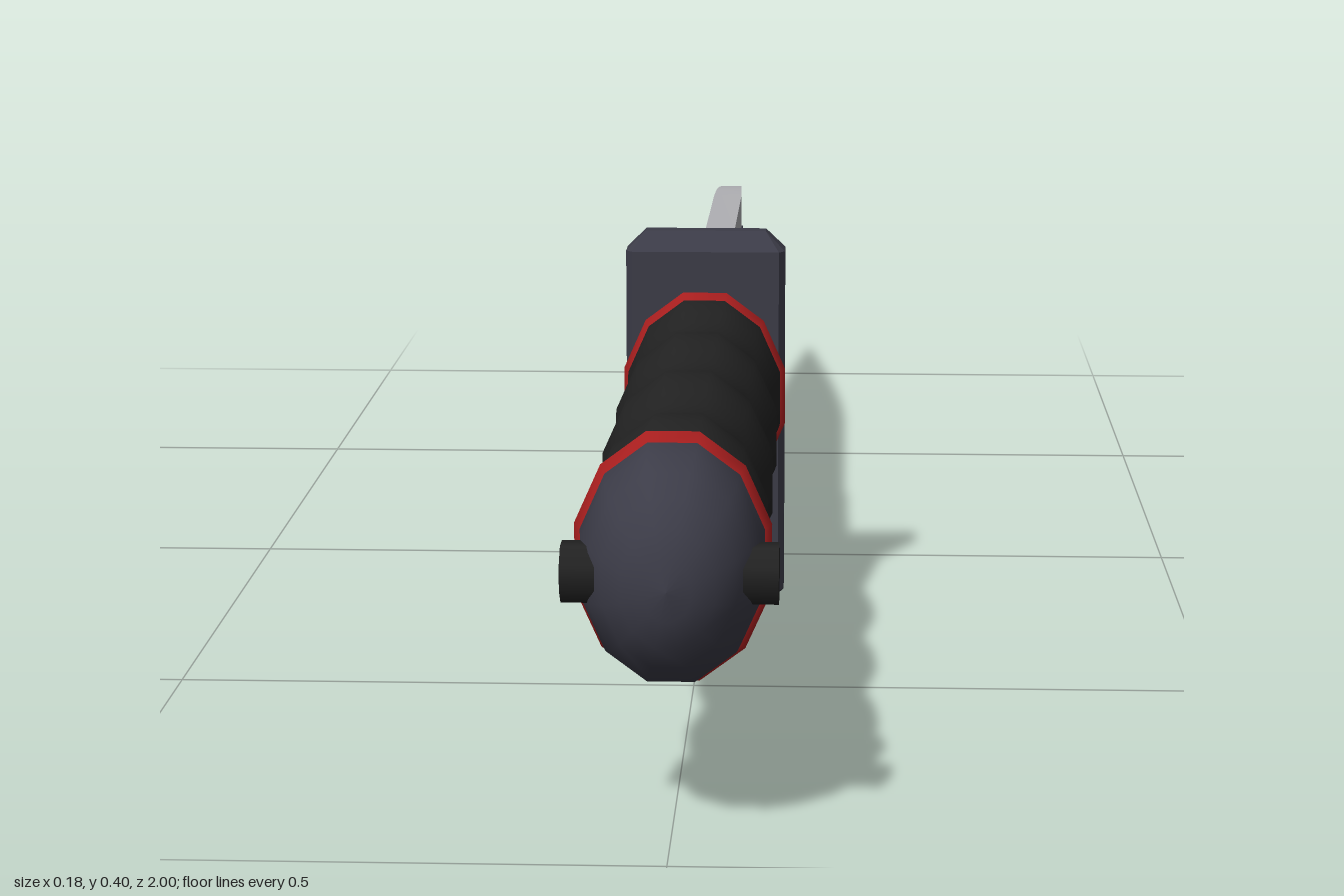
import * as THREE from 'three';
import { toCreasedNormals } from 'three/addons/utils/BufferGeometryUtils.js';
import { ConvexGeometry } from 'three/addons/geometries/ConvexGeometry.js';

const AXIS_Y = 0.232; // height of the handle axis
const OVAL = 1.3;     // handle height / width
const SIDES = 12;

const material = (name, color, flatShading = false) =>
  Object.assign(new THREE.MeshStandardMaterial({ color, flatShading }), { name });

// Oval turned part along z from [radius, z] pairs
function turned(profile) {
  const points = profile.map(([r, z]) => new THREE.Vector2(r, z));
  return new THREE.LatheGeometry(points, SIDES, Math.PI / SIDES)
    .rotateX(Math.PI / 2).scale(1, OVAL, 1).translate(0, AXIS_Y, 0);
}

// Blade lofted from six-point cross-sections, thick spine to thin edge
function bladeGeometry() {
  const start = 0.19, bend = -0.47, tip = -1;
  const topCurve = new THREE.SplineCurve([[-0.47, 0.335], [-0.55, 0.333], [-0.71, 0.31], [-0.87, 0.278], [-1, 0.25]]
    .map(p => new THREE.Vector2(...p)));
  const lowCurve = new THREE.SplineCurve([[-0.47, 0.12], [-0.56, 0.125], [-0.71, 0.145], [-0.87, 0.19], [-1, 0.25]]
    .map(p => new THREE.Vector2(...p)));
  const heightAt = (curve, z) => {
    let lo = 0, hi = 1;
    for (let i = 0; i < 30; i++) {
      const mid = (lo + hi) / 2;
      if (curve.getPoint(mid).x > z) lo = mid; else hi = mid;
    }
    return curve.getPoint(lo).y;
  };
  const stations = [start];
  for (let i = 0; i <= 16; i++) stations.push(bend + (tip - bend) * i / 16);

  const position = [], index = [];
  stations.forEach((z) => {
    const s = Math.max(0, (bend - z) / (bend - tip));
    const top = z > bend ? 0.335 : heightAt(topCurve, z);
    const low = z > bend ? 0.12 : heightAt(lowCurve, z);
    const w = 0.017 - 0.016 * s, e = 0.004 - 0.0035 * s;
    const mid = low + (top - low) * 0.28;
    position.push(w, top, z, w, mid, z, e, low, z, -e, low, z, -w, mid, z, -w, top, z);
  });
  for (let i = 0; i < stations.length - 1; i++) {
    for (let j = 0; j < 6; j++) {
      const a = i * 6 + j, b = i * 6 + (j + 1) % 6;
      index.push(a, b, a + 6, b, b + 6, a + 6);
    }
  }
  for (let j = 1; j < 5; j++) index.push(0, j + 1, j);
  const g = new THREE.BufferGeometry();
  g.setAttribute('position', new THREE.Float32BufferAttribute(position, 3));
  g.setIndex(index);
  return toCreasedNormals(g, 0.6);
}

export function createModel() {
  const steel = material('blade steel', 0xb0b0b4);
  const gunmetal = material('gunmetal', 0x3c3c48);
  gunmetal.flatShading = false;
  const red = material('red trim', 0xb02020);
  const black = material('black grip', 0x222222);

  const model = new THREE.Group();
  model.name = 'knife';
  const add = (name, geometry, mat) => {
    const mesh = new THREE.Mesh(geometry, mat);
    mesh.name = name;
    model.add(mesh);
    return mesh;
  };

  // Blade with dark groove and spine teeth
  add('blade', bladeGeometry(), steel);
  for (const side of [-1, 1]) {
    add('bladeGroove', new THREE.BoxGeometry(0.004, 0.022, 0.565), gunmetal)
      .position.set(side * 0.0165, 0.286, -0.187);
  }
  for (let i = 0; i < 5; i++) {
    add('spineTooth', new THREE.BoxGeometry(0.038, 0.022, 0.021), gunmetal)
      .position.set(0, 0.335, 0.13 - i * 0.0375);
  }

  // Chamfered guard
  const corners = [];
  for (const sx of [-1, 1]) for (const sy of [-1, 1]) for (const sz of [-1, 1]) {
    for (const [x, y, z] of [[0.062, 0.2, 0.009], [0.082, 0.18, 0.015], [0.076, 0.18, 0.024]]) {
      corners.push(new THREE.Vector3(sx * x, 0.2 + sy * y, 0.202 + sz * z));
    }
  }
  add('guard', new ConvexGeometry(corners), gunmetal);

  // Grip with finger swells
  const grip = [];
  for (let i = 0; i <= 28; i++) {
    const z = 0.22 + 0.665 * i / 28;
    grip.push([0.0755 + 0.0055 * Math.cos(Math.PI * 2 * (z - 0.25) / 0.185), z]);
  }
  add('grip', turned(grip), black);

  // Red rings at both ends of the grip
  for (const z of [0.239, 0.886]) {
    const ring = new THREE.TorusGeometry(0.07, 0.016, 6, SIDES)
      .rotateZ(Math.PI / SIDES).scale(1, OVAL, 1).translate(0, AXIS_Y, z);
    add('gripRing', ring, red);
  }

  // Domed pommel and its side pins
  const dome = [[0.08, 0.88]];
  for (let i = 0; i <= 6; i++) {
    const a = Math.PI / 2 * i / 6;
    dome.push([0.08 * Math.cos(a), 0.9 + 0.1 * Math.sin(a)]);
  }
  add('pommel', turned(dome), gunmetal);
  for (const side of [-1, 1]) {
    const pin = new THREE.CylinderGeometry(0.026, 0.026, 0.04, 8)
      .rotateY(Math.PI / 8).rotateZ(Math.PI / 2);
    add('pommelPin', pin, black).position.set(side * 0.07, AXIS_Y, 0.936);
  }
  return model;
}
